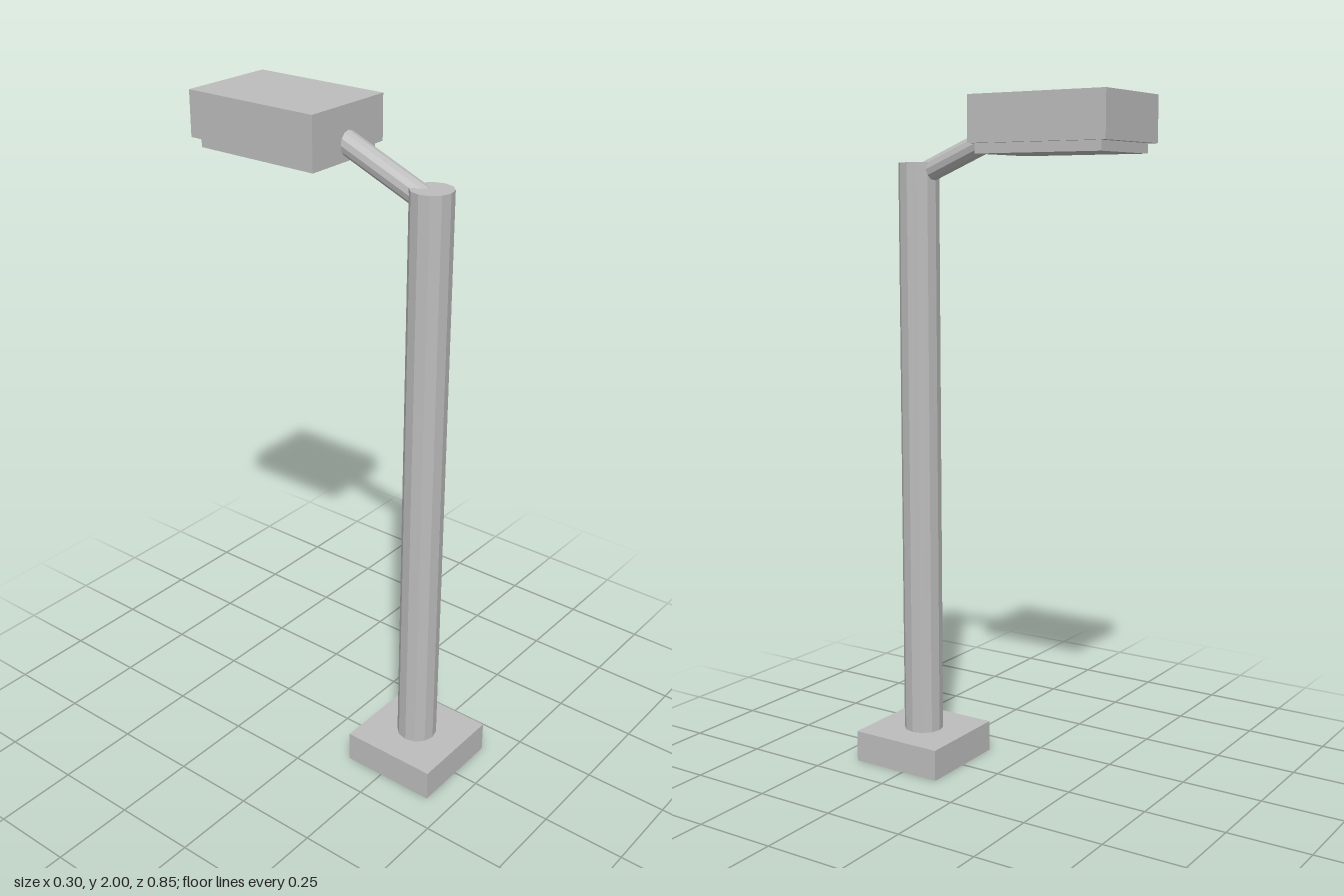
import * as THREE from 'three';

export function createModel() {
  const model = new THREE.Group();
  model.name = 'streetLamp';
  const grey = new THREE.MeshStandardMaterial({ color: 0xbcbcbc });
  grey.name = 'grey';
  grey.flatShading = true;

  const add = (name, geometry, x, y, z) => {
    const mesh = new THREE.Mesh(geometry, grey);
    mesh.name = name;
    mesh.position.set(x, y, z);
    model.add(mesh);
    return mesh;
  };

  // Square foot and twelve-sided pole
  add('base', new THREE.BoxGeometry(0.296, 0.095, 0.296), 0, 0.0475, 0.275);
  add('pole', new THREE.CylinderGeometry(0.06, 0.06, 1.735, 12), 0, 0.9575, 0.275);

  // Slanted arm from the pole top into the back of the lamp head
  const from = new THREE.Vector3(0, 1.785, 0.275);
  const to = new THREE.Vector3(0, 1.904, -0.017);
  const along = to.clone().sub(from);
  const mid = from.clone().add(to).multiplyScalar(0.5);
  const arm = add('arm', new THREE.CylinderGeometry(0.033, 0.033, along.length(), 12), mid.x, mid.y, mid.z);
  arm.quaternion.setFromUnitVectors(new THREE.Vector3(0, 1, 0), along.normalize());

  // Lamp housing with the light panel below it
  add('lampHousing', new THREE.BoxGeometry(0.296, 0.13, 0.43), 0, 1.935, -0.212);
  add('lightPanel', new THREE.BoxGeometry(0.262, 0.04, 0.395), 0, 1.862, -0.208);

  return model;
}
